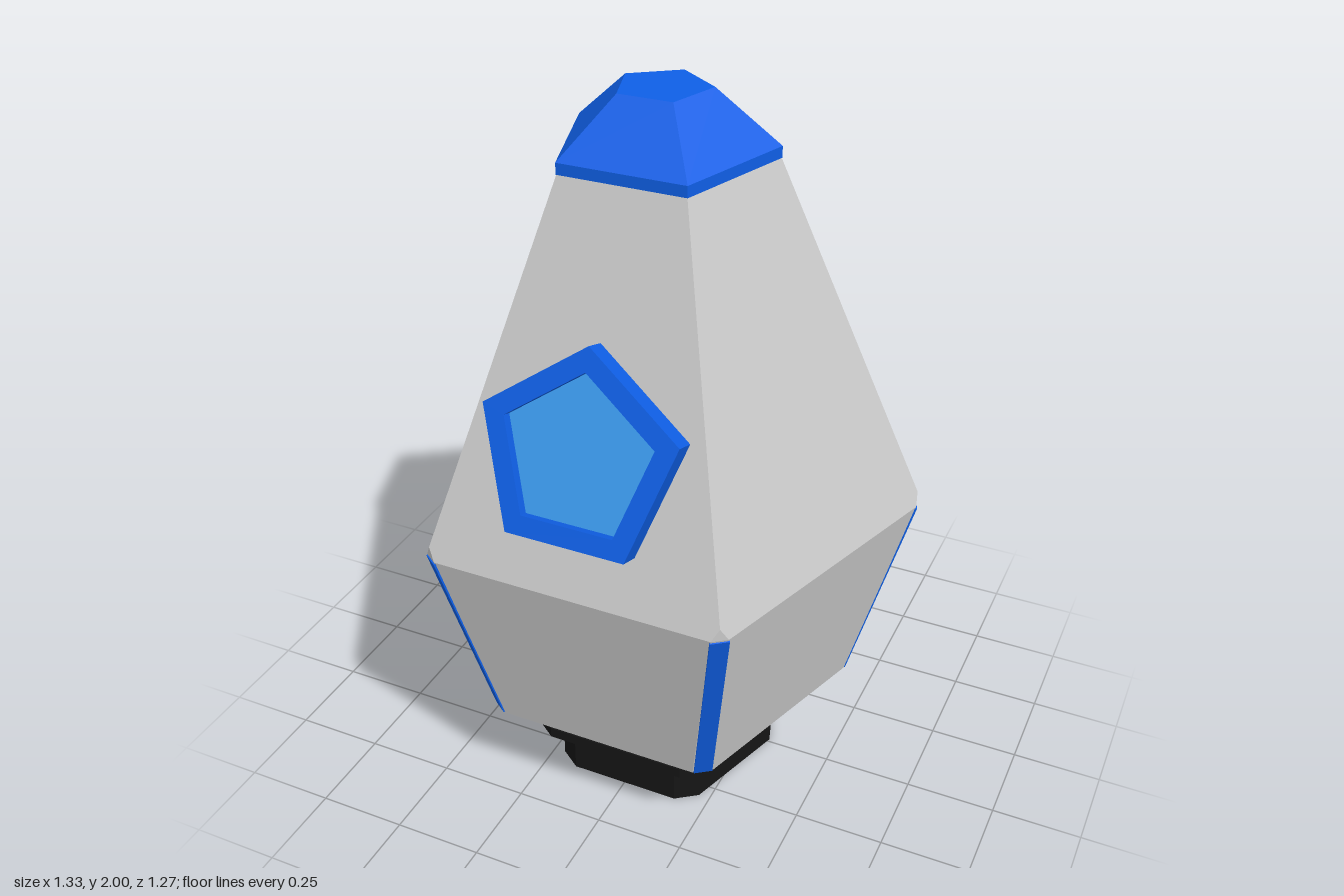
import * as THREE from 'three';

const CZ = 0.055; // the pentagon axis sits a little forward of the origin
const STEP = (Math.PI * 2) / 5;
const mat = (color) => new THREE.MeshStandardMaterial({ color, flatShading: true });
const grey = mat(0xcccccc), blue = mat(0x0f5fe6), glass = mat(0x3c9cf0), black = mat(0x151515);

const corner = (k, R, y) => new THREE.Vector3(R * Math.sin(k * STEP), y, -R * Math.cos(k * STEP));

// Pentagon with its point at the back, each corner cut back by d along both edges
function ring([y, R, d = 0]) {
  const pts = [];
  for (let k = 0; k < 5; k++) {
    const c = corner(k, R, y);
    for (const n of [k - 1, k + 1]) {
      const along = corner(n, R, y).sub(c).normalize();
      pts.push(c.clone().addScaledVector(along, d));
    }
  }
  return pts;
}

// Closed faceted solid through a stack of [y, radius, cornerCut] rings
function loft(profile) {
  const rings = profile.map(ring), pos = [];
  const tri = (a, b, c) => {
    const area = b.clone().sub(a).cross(c.clone().sub(a)).length();
    if (area > 1e-7) for (const p of [a, b, c]) pos.push(p.x, p.y, p.z);
  };
  const last = rings.length - 1;
  const low = new THREE.Vector3(0, profile[0][0], 0);
  const high = new THREE.Vector3(0, profile[last][0], 0);
  for (let j = 0; j < 10; j++) {
    const n = (j + 1) % 10;
    tri(low, rings[0][j], rings[0][n]);
    tri(high, rings[last][n], rings[last][j]);
    for (let i = 0; i < last; i++) {
      const p = rings[i], q = rings[i + 1];
      tri(p[j], q[j], p[n]);
      tri(p[n], q[j], q[n]);
    }
  }
  const g = new THREE.BufferGeometry();
  g.setAttribute('position', new THREE.Float32BufferAttribute(pos, 3));
  g.computeVertexNormals();
  return g;
}

// Upright pentagon outline for the window
function pentagon(R, Type = THREE.Shape) {
  const pts = [];
  for (let k = 0; k < 5; k++) pts.push(new THREE.Vector2(-R * Math.sin(k * STEP), R * Math.cos(k * STEP)));
  return new Type(pts);
}

const extrude = (shape, depth) => new THREE.ExtrudeGeometry(shape, { depth, bevelEnabled: false });

function add(parent, name, geometry, material) {
  const m = new THREE.Mesh(geometry, material);
  m.name = name;
  parent.add(m);
  return m;
}

export function createModel() {
  const model = new THREE.Group();
  model.name = 'pod';
  const axis = new THREE.Group();
  axis.name = 'pentagonalBody';
  axis.position.z = CZ;
  model.add(axis);

  // Hull: flared below, tapering above, corners cut where the strips sit
  add(axis, 'hull', loft([
    [0.29, 0.545, 0.035], [0.86, 0.704, 0.028], [0.895, 0.689, 0], [1.84, 0.284, 0],
  ]), grey);

  // Nose cap with a short vertical rim
  add(axis, 'noseCap', loft([[1.83, 0.29], [1.86, 0.29], [2, 0.125]]), blue);

  // Hollow nozzle, then a collar with three ribs
  const base = [[0.13, 0.24, 0.035], [0, 0.24, 0.035], [0, 0.346, 0.045], [0.15, 0.346, 0.045]];
  for (let i = 0; i < 3; i++) {
    const y = 0.15 + i * 0.05;
    base.push([y, 0.42, 0.045], [y + 0.03, 0.42, 0.045], [y + 0.03, 0.395, 0.045], [y + 0.05, 0.395, 0.045]);
  }
  add(axis, 'nozzle', loft(base), black);

  // Blue strips down the five lower corners
  const rLow = 0.524, rHigh = 0.687, rise = 0.57;
  for (let k = 0; k < 5; k++) {
    const arm = new THREE.Group();
    arm.name = 'cornerStrip' + (k + 1);
    arm.rotation.y = Math.PI - k * STEP;
    axis.add(arm);
    const strip = add(arm, 'strip', new THREE.BoxGeometry(0.05, Math.hypot(rise, rHigh - rLow) - 0.006, 0.02), blue);
    strip.position.set(0, 0.575, (rLow + rHigh) / 2 - 0.006);
    strip.rotation.x = Math.atan2(rHigh - rLow, rise);
  }

  // Pentagonal window on the sloping front face
  const tilt = 0.334, depth = 0.075;
  const porthole = new THREE.Group();
  porthole.name = 'window';
  porthole.position.set(0, 1.238 - depth * Math.sin(tilt), 0.561 - depth * Math.cos(tilt));
  porthole.rotation.x = -tilt;
  model.add(porthole);
  const frame = pentagon(0.276);
  frame.holes.push(pentagon(0.212, THREE.Path));
  add(porthole, 'windowFrame', extrude(frame, depth), blue);
  add(porthole, 'windowPane', extrude(pentagon(0.214), depth - 0.028), glass);

  return model;
}
